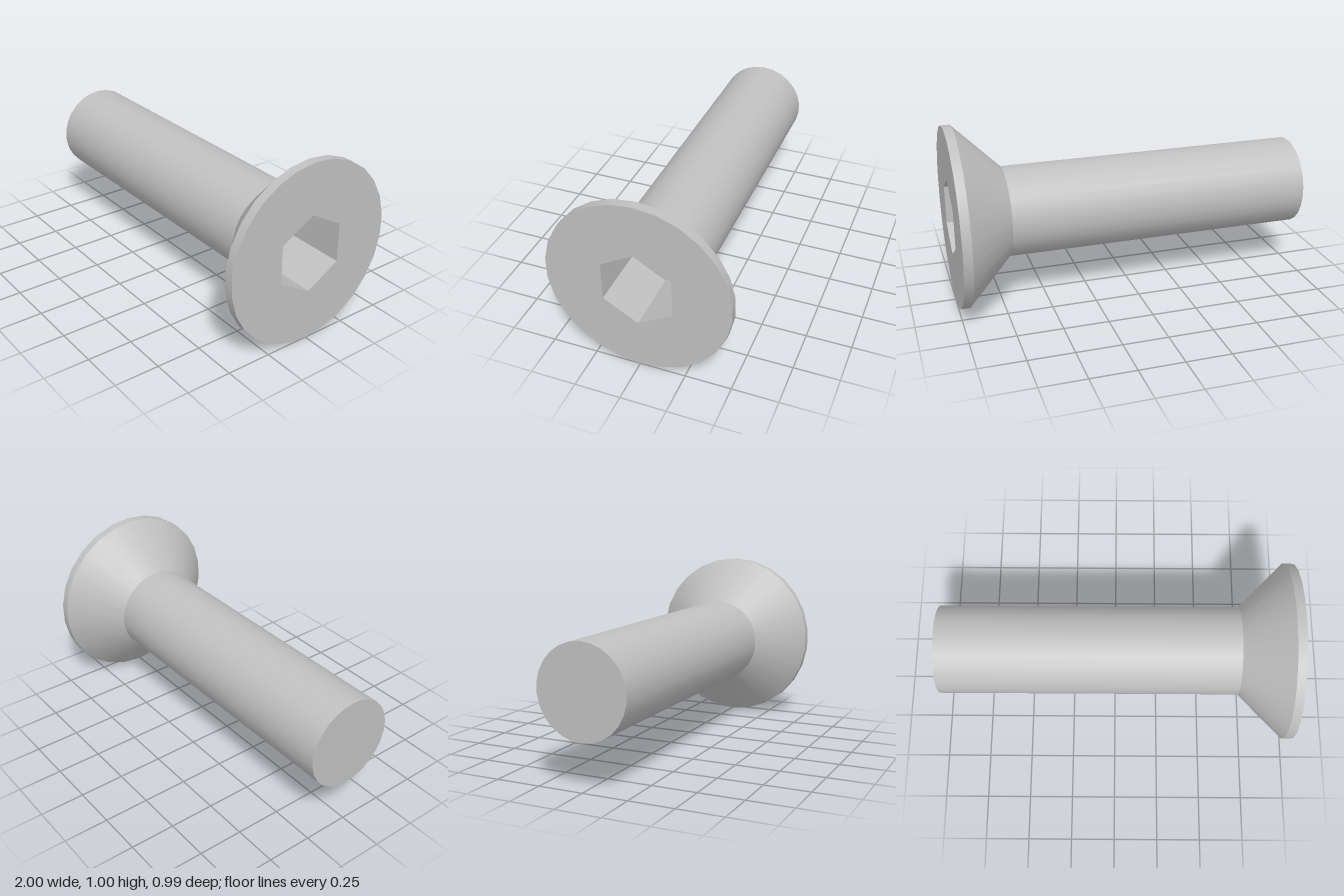
import * as THREE from 'three';

const SIDES = 26;
const SHAFT_R = 0.25, HEAD_R = 0.5, SOCKET_R = 0.217;
const X_END = -1, X_NECK = 0.7, X_RIM = 0.95, X_FACE = 1, X_FLOOR = 0.65;

// Open tube along x from x0 (radius r0) to x1 (radius r1), with a corner straight up
function tubeX(x0, x1, r0, r1, sides = SIDES) {
  const g = new THREE.CylinderGeometry(r1, r0, x1 - x0, sides, 1, true, Math.PI / 2);
  return g.rotateZ(-Math.PI / 2).translate((x0 + x1) / 2, 0, 0);
}

// Flat polygon at x, facing +x (dir 1) or -x (dir -1)
function discX(x, r, sides, dir) {
  const g = new THREE.CircleGeometry(r, sides, Math.PI / 2);
  return g.rotateY(dir * Math.PI / 2).translate(x, 0, 0);
}

function polygon(r, sides) {
  return Array.from({ length: sides }, (_, i) => {
    const a = Math.PI / 2 + (i / sides) * Math.PI * 2;
    return new THREE.Vector2(r * Math.cos(a), r * Math.sin(a));
  });
}

export function createModel() {
  const steel = new THREE.MeshStandardMaterial({ color: 0xc0c0c0 });
  steel.name = 'steel';
  const group = new THREE.Group();
  group.name = 'countersunkScrew';

  const add = (name, geometry) => {
    const mesh = new THREE.Mesh(geometry, steel);
    mesh.name = name;
    mesh.position.y = HEAD_R;
    group.add(mesh);
  };

  // Shaft
  add('shaft', tubeX(X_END, X_NECK, SHAFT_R, SHAFT_R));
  add('shaftEnd', discX(X_END, SHAFT_R, SIDES, -1));

  // Countersunk head
  add('headCone', tubeX(X_NECK, X_RIM, SHAFT_R, HEAD_R));
  add('headRim', tubeX(X_RIM, X_FACE, HEAD_R, HEAD_R));

  // Head face with the hexagonal opening
  const face = new THREE.Shape(polygon(HEAD_R, SIDES));
  face.holes.push(new THREE.Path(polygon(SOCKET_R, 6)));
  add('headFace', new THREE.ShapeGeometry(face).rotateY(Math.PI / 2).translate(X_FACE, 0, 0));

  // Hex socket: mirroring turns the walls to face inward
  const walls = tubeX(X_FLOOR, X_FACE, SOCKET_R, SOCKET_R, 6).scale(1, 1, -1).toNonIndexed();
  walls.computeVertexNormals();
  add('socketWalls', walls);
  add('socketFloor', discX(X_FLOOR, SOCKET_R, 6, 1));

  return group;
}
